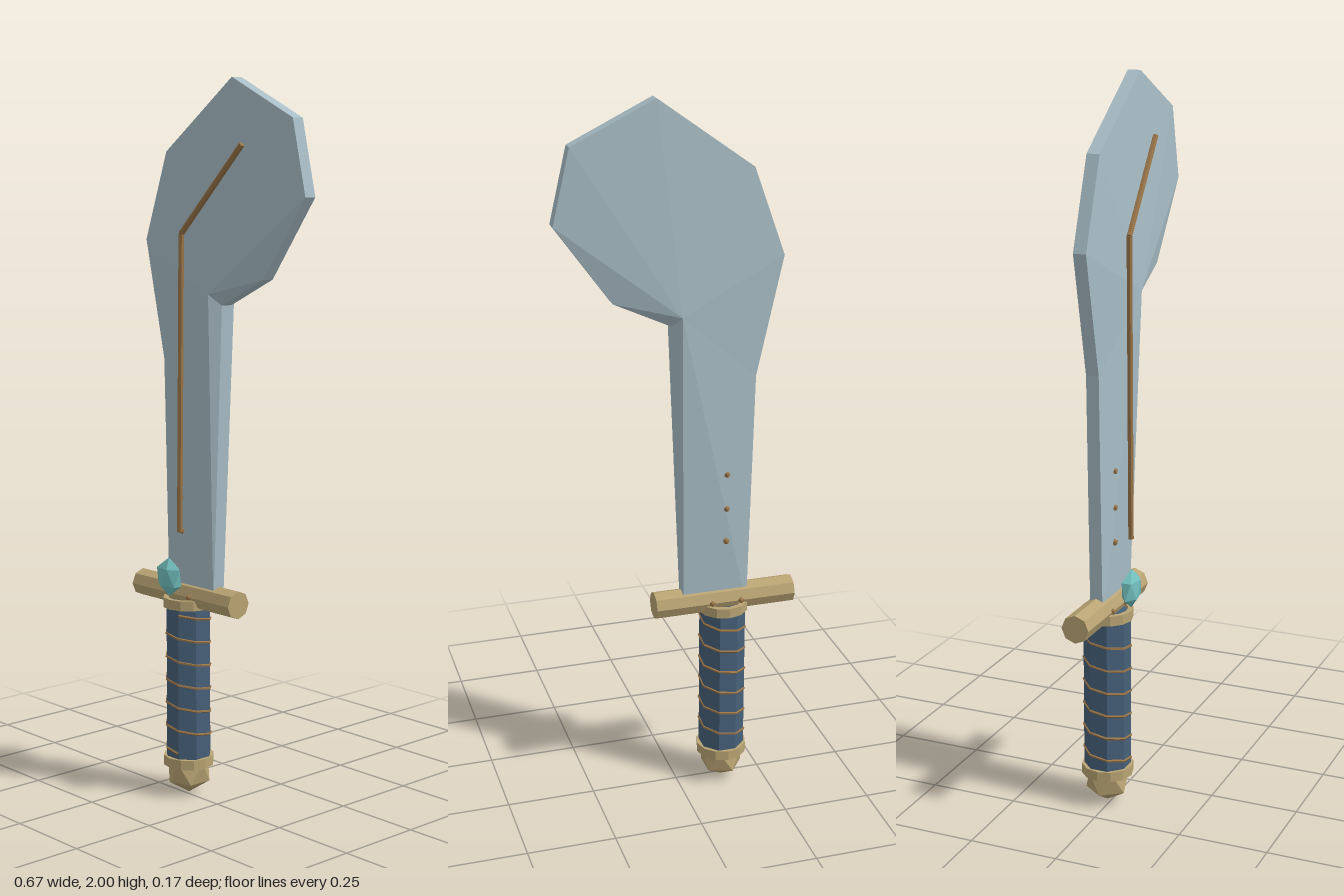
import * as THREE from 'three';

const mat = (name, color) => {
  const m = new THREE.MeshStandardMaterial({ color, flatShading: true });
  m.name = name;
  return m;
};

// Faceted ball with a vertex at each pole
function poleBall(sx, sy, sz) {
  return new THREE.IcosahedronGeometry(1, 0).rotateZ(-Math.atan(2 / (1 + Math.sqrt(5)))).scale(sx, sy, sz);
}

// Flat rim outline with one raised apex on each side, fanned to the rim
function bladeGeometry(outline, apex, rimHalf, apexHalf) {
  const pos = [];
  const tri = (...pts) => pts.forEach((p) => pos.push(...p));
  const n = outline.length;
  for (let i = 0; i < n; i++) {
    const [ax, ay] = outline[i];
    const [bx, by] = outline[(i + 1) % n];
    const af = [ax, ay, rimHalf], bf = [bx, by, rimHalf];
    const ab = [ax, ay, -rimHalf], bb = [bx, by, -rimHalf];
    tri([...apex, apexHalf], af, bf);
    tri([...apex, -apexHalf], bb, ab);
    tri(af, ab, bb);
    tri(af, bb, bf);
  }
  const g = new THREE.BufferGeometry();
  g.setAttribute('position', new THREE.Float32BufferAttribute(pos, 3));
  g.computeVertexNormals();
  return g;
}

// Straight rod between two points
function rodGeometry(a, b, r) {
  const d = new THREE.Vector3().subVectors(b, a);
  const g = new THREE.CylinderGeometry(r, r, d.length(), 6);
  g.applyQuaternion(new THREE.Quaternion().setFromUnitVectors(new THREE.Vector3(0, 1, 0), d.normalize()));
  const c = a.clone().add(b).multiplyScalar(0.5);
  return g.translate(c.x, c.y, c.z);
}

// Flat-sided ring around the y axis
function ringGeometry(inner, outer, height) {
  const h = height / 2;
  const profile = [[inner, -h], [outer, -h], [outer, h], [inner, h], [inner, -h]];
  return new THREE.LatheGeometry(profile.map(([x, y]) => new THREE.Vector2(x, y)), 12);
}

export function createModel() {
  const group = new THREE.Group();
  const steel = mat('steel', 0xa8bdc6);
  const gold = mat('gold', 0xb9a473);
  const bronze = mat('bronze', 0x977347);
  const leather = mat('blueLeather', 0x466079);
  const jewel = mat('tealGem', 0x72c1bf);

  const add = (name, geo, material, x = 0, y = 0, z = 0) => {
    const m = new THREE.Mesh(geo, material);
    m.name = name;
    m.position.set(x, y, z);
    group.add(m);
  };

  const gx = -0.133; // grip axis
  const gz = -0.012;
  const bz = -0.015; // blade mid-plane

  // Blade, widening to a hooked head
  const outline = [
    [0.022, 1.40], [0.18, 1.475], [0.334, 1.69], [0.287, 1.89], [0.06, 2.0],
    [-0.203, 1.81], [-0.289, 1.57], [-0.215, 1.24], [-0.197, 0.56], [-0.012, 0.56],
  ];
  add('blade', bladeGeometry(outline, [0, 1.43], 0.018, 0.048), steel, 0, 0, bz);

  // Bent inlay rod on the front face
  const bend = new THREE.Vector3(-0.1, 1.59, 0.04);
  add('inlayLower', rodGeometry(new THREE.Vector3(-0.103, 0.77, 0.046), bend, 0.008), bronze);
  add('inlayUpper', rodGeometry(bend, new THREE.Vector3(0.119, 1.825, 0.022), 0.008), bronze);

  // Rivets on both faces of the blade and on the guard
  for (const s of [-1, 1]) {
    for (const y of [0.765, 0.863, 0.965]) {
      add('bladeRivet', poleBall(0.01, 0.01, 0.01), bronze, gx, y, bz + s * 0.026);
    }
    for (const x of [-0.042, 0.042]) {
      add('guardRivet', poleBall(0.009, 0.009, 0.009), bronze, gx + x, 0.582, bz + s * 0.039);
    }
  }

  // Crossguard and gem
  add('guard', new THREE.CylinderGeometry(0.039, 0.039, 0.405, 8).rotateZ(Math.PI / 2), gold, gx, 0.582, bz);
  add('gem', poleBall(0.05, 0.055, 0.025), jewel, gx, 0.64, 0.06);

  // Grip with end collars
  add('grip', new THREE.CylinderGeometry(0.065, 0.065, 0.46, 8).rotateY(Math.PI / 8), leather, gx, 0.335, gz);
  for (const y of [0.1, 0.56]) {
    add('collar', ringGeometry(0.058, 0.072, 0.028), gold, gx, y, gz);
  }

  // Spiral wire around the grip
  const turns = 6;
  const pts = [];
  for (let i = 0; i <= turns * 8; i++) {
    const a = (i / 8 + 1 / 16) * Math.PI * 2;
    pts.push(new THREE.Vector3(gx + 0.065 * Math.sin(a), 0.53 - (0.4 * i) / (turns * 8), gz + 0.065 * Math.cos(a)));
  }
  const wire = new THREE.CurvePath();
  for (let i = 1; i < pts.length; i++) wire.add(new THREE.LineCurve3(pts[i - 1], pts[i]));
  add('gripWire', new THREE.TubeGeometry(wire, turns * 16, 0.004, 5), bronze);

  // Pommel
  add('pommel', poleBall(0.067, 0.067, 0.067), gold, gx, 0.067, gz);

  return group;
}
